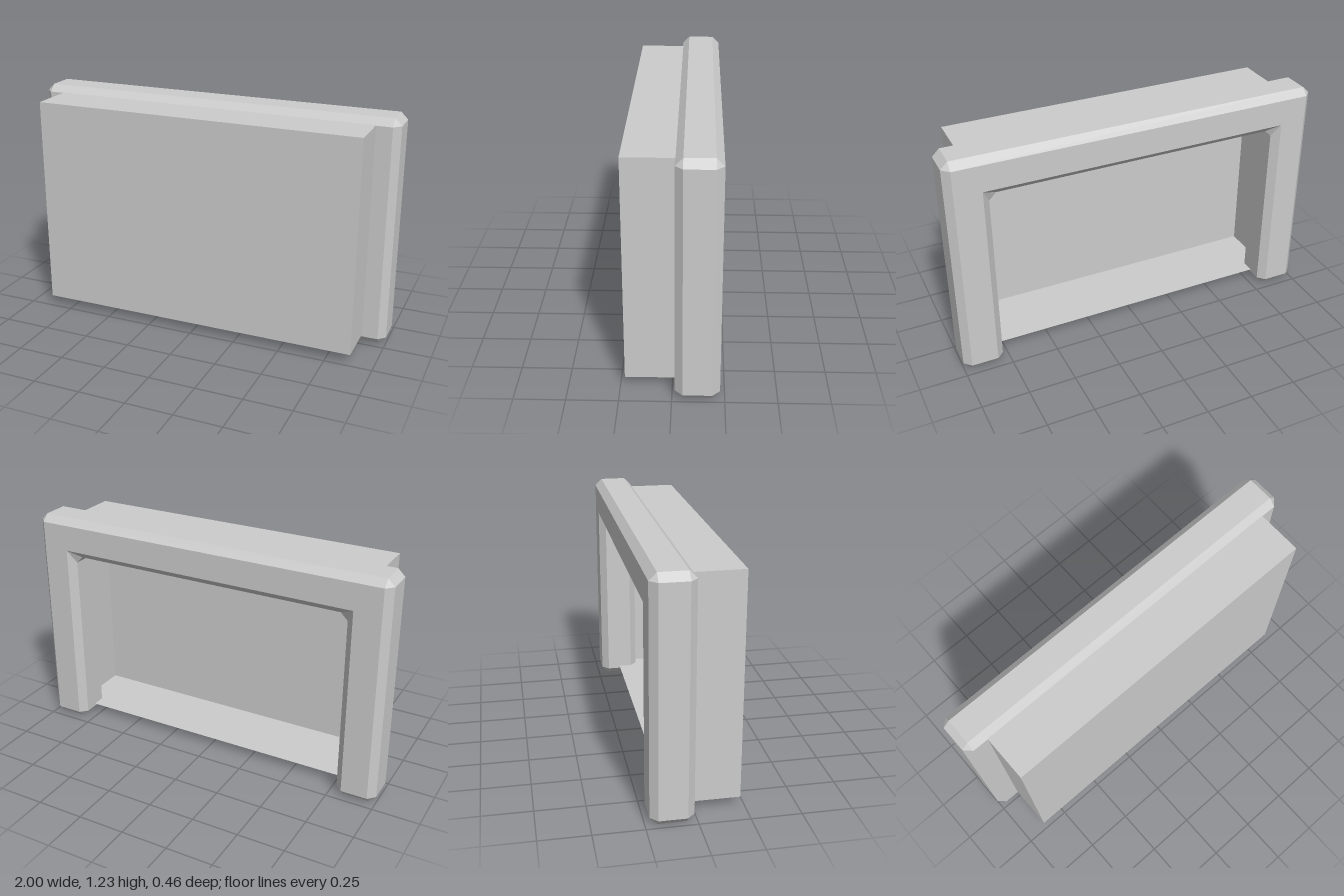
import * as THREE from 'three';

const BEVEL = 0.037;

// Sharp corners of the upside-down U, counter-clockwise from the front
const CORNERS = [
  [-1, 0], [-0.785, 0], [-0.785, 1.01], [0.785, 1.01],
  [0.785, 0], [1, 0], [1, 1.225], [-1, 1.225],
].map(([x, y]) => new THREE.Vector2(x, y));

// Chamfered U frame: inset caps joined through rings with cut corners
function frameGeometry(zBack, zFront) {
  const cap = [], capRing = [], midRing = [];
  CORNERS.forEach((c, i) => {
    const n = CORNERS.length;
    const din = c.clone().sub(CORNERS[(i + n - 1) % n]).normalize();
    const dout = CORNERS[(i + 1) % n].clone().sub(c).normalize();
    const inset = new THREE.Vector2(-din.y - dout.y, din.x + dout.x).multiplyScalar(BEVEL).add(c);
    cap.push(inset);
    capRing.push(inset, inset);
    midRing.push(c.clone().addScaledVector(din, -BEVEL), c.clone().addScaledVector(dout, BEVEL));
  });

  const layers = [
    [capRing, zBack], [midRing, zBack + BEVEL],
    [midRing, zFront - BEVEL], [capRing, zFront],
  ];
  const pos = [];
  const tri = (...pts) => pts.forEach(([p, z]) => pos.push(p.x, p.y, z));

  // Chamfers and walls
  for (let k = 0; k < layers.length - 1; k++) {
    const [r0, z0] = layers[k], [r1, z1] = layers[k + 1];
    for (let i = 0; i < r0.length; i++) {
      const j = (i + 1) % r0.length;
      if (r0[i] !== r0[j]) tri([r0[i], z0], [r0[j], z0], [r1[j], z1]);
      if (r1[i] !== r1[j]) tri([r0[i], z0], [r1[j], z1], [r1[i], z1]);
    }
  }
  // Flat front and back faces
  for (const [a, b, c] of THREE.ShapeUtils.triangulateShape(cap, [])) {
    tri([cap[a], zFront], [cap[b], zFront], [cap[c], zFront]);
    tri([cap[a], zBack], [cap[c], zBack], [cap[b], zBack]);
  }

  const g = new THREE.BufferGeometry();
  g.setAttribute('position', new THREE.Float32BufferAttribute(pos, 3));
  g.computeVertexNormals();
  return g;
}

// Thin-walled box without its rear face
function openBoxGeometry(width, height, depth) {
  const g = new THREE.BoxGeometry(width, height, depth);
  g.setIndex(Array.from(g.index.array).slice(0, 30));
  g.clearGroups();
  return g;
}

export function createModel() {
  const group = new THREE.Group();
  group.name = 'framedPanel';

  const frame = new THREE.Mesh(
    frameGeometry(-0.228, -0.014),
    new THREE.MeshStandardMaterial({ color: 0xcccccc, flatShading: true }),
  );
  frame.name = 'frame';

  // Front panel shell, its open rear edge buried in the frame
  const panel = new THREE.Mesh(
    openBoxGeometry(1.76, 1.14, 0.35),
    new THREE.MeshStandardMaterial({ color: 0xcccccc, flatShading: true, side: THREE.DoubleSide }),
  );
  panel.name = 'frontPanel';
  panel.position.set(0, 0.62, 0.053);

  group.add(frame, panel);
  return group;
}
